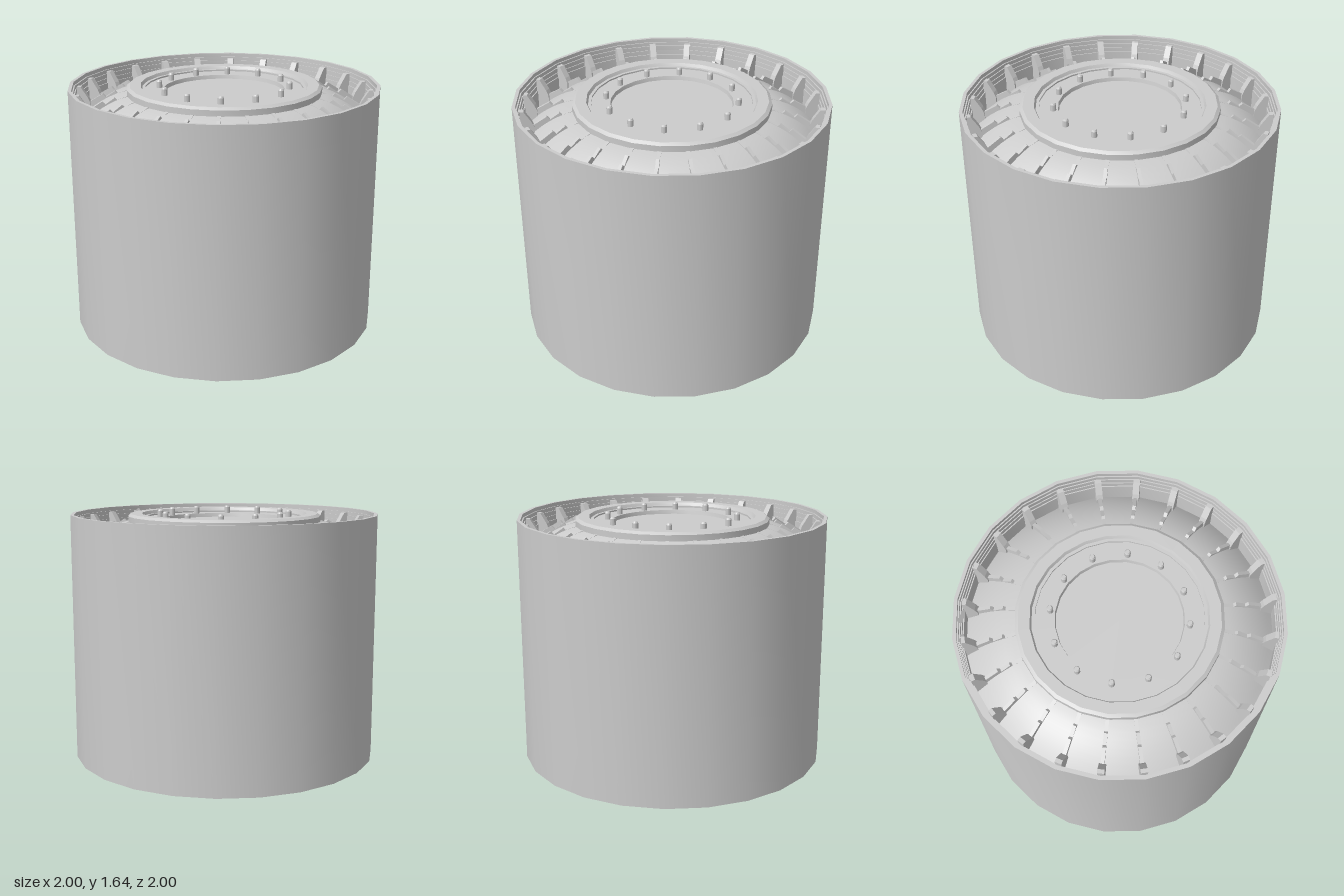
import * as THREE from 'three';
import { toCreasedNormals } from 'three/addons/utils/BufferGeometryUtils.js';

const SIDES = 24;
const MID = 0.82; // half of the full height
const mat = new THREE.MeshStandardMaterial({ color: 0xcccccc });

// Turned part from [radius, height] pairs, with sharp profile corners
function turned(name, pts, sides = SIDES) {
  const lathe = new THREE.LatheGeometry(pts.map(p => new THREE.Vector2(...p)), sides);
  const mesh = new THREE.Mesh(toCreasedNormals(lathe, 0.45), mat);
  mesh.name = name;
  return mesh;
}

// Upright plate from a [radius, height] outline, centred on its thickness
function plate(name, pts, thickness) {
  const shape = new THREE.Shape(pts.map(p => new THREE.Vector2(...p)));
  const geo = new THREE.ExtrudeGeometry(shape, { depth: thickness, bevelEnabled: false });
  geo.translate(0, 0, -thickness / 2);
  const mesh = new THREE.Mesh(geo, mat);
  mesh.name = name;
  return mesh;
}

// One end of the drum; heights are measured from the middle of the drum
function createEnd() {
  const end = new THREE.Group();

  // Stepped lip inside the outer wall
  end.add(turned('steppedRim', [
    [1, 0.8], [0.978, 0.8], [0.978, 0.775], [0.97, 0.775], [0.97, 0.75], [0.963, 0.75],
    [0.963, 0.72], [0.957, 0.72], [0.957, 0.69], [0.95, 0.69], [0.95, 0.5],
  ]));

  // Dome falling away from the hub to the wall
  const dome = [];
  for (let i = 0; i <= 8; i++) {
    const t = 1 - i / 8;
    dome.push([0.62 + 0.34 * t, 0.75 - 0.06 * t - 0.14 * t * t]);
  }
  end.add(turned('dome', dome));

  // Hub with a stepped ring and a sunken centre
  end.add(turned('hub', [
    [0.63, 0.72], [0.63, 0.785], [0.61, 0.8], [0.54, 0.8], [0.53, 0.78],
    [0.51, 0.78], [0.51, 0.77], [0.39, 0.77], [0.385, 0.745], [0, 0.745],
  ]));

  // Saw-toothed ribs, each ending in a wider bracket at the wall
  for (let i = 0; i < SIDES; i++) {
    const rib = new THREE.Group();
    rib.name = 'rib';
    rib.add(plate('ribBlade', [
      [0.61, 0.6], [0.95, 0.5], [0.95, 0.64], [0.88, 0.67], [0.79, 0.725],
      [0.77, 0.705], [0.71, 0.745], [0.695, 0.73], [0.61, 0.758],
    ], 0.022));
    rib.add(plate('ribBracket', [
      [0.87, 0.55], [0.955, 0.5], [0.955, 0.77], [0.93, 0.77], [0.885, 0.7], [0.87, 0.665],
    ], 0.042));
    rib.rotation.y = (i / SIDES) * Math.PI * 2;
    end.add(rib);
  }

  // Ring of bolts
  for (let i = 0; i < 12; i++) {
    const a = (i / 12) * Math.PI * 2;
    const bolt = turned('bolt', [
      [0.019, 0.76], [0.019, 0.81], [0.013, MID], [0, MID],
    ], 12);
    bolt.position.set(Math.cos(a) * 0.42, 0, Math.sin(a) * 0.42);
    end.add(bolt);
  }
  return end;
}

export function createModel() {
  const model = new THREE.Group();
  model.name = 'drum';

  const wall = turned('outerWall', [[1, -0.8], [1, 0.8]]);
  wall.position.y = MID;
  model.add(wall);

  // Matching ends, the lower one turned over
  ['topEnd', 'bottomEnd'].forEach((name, i) => {
    const end = createEnd();
    end.name = name;
    end.position.y = MID;
    end.rotation.x = i * Math.PI;
    model.add(end);
  });
  return model;
}
